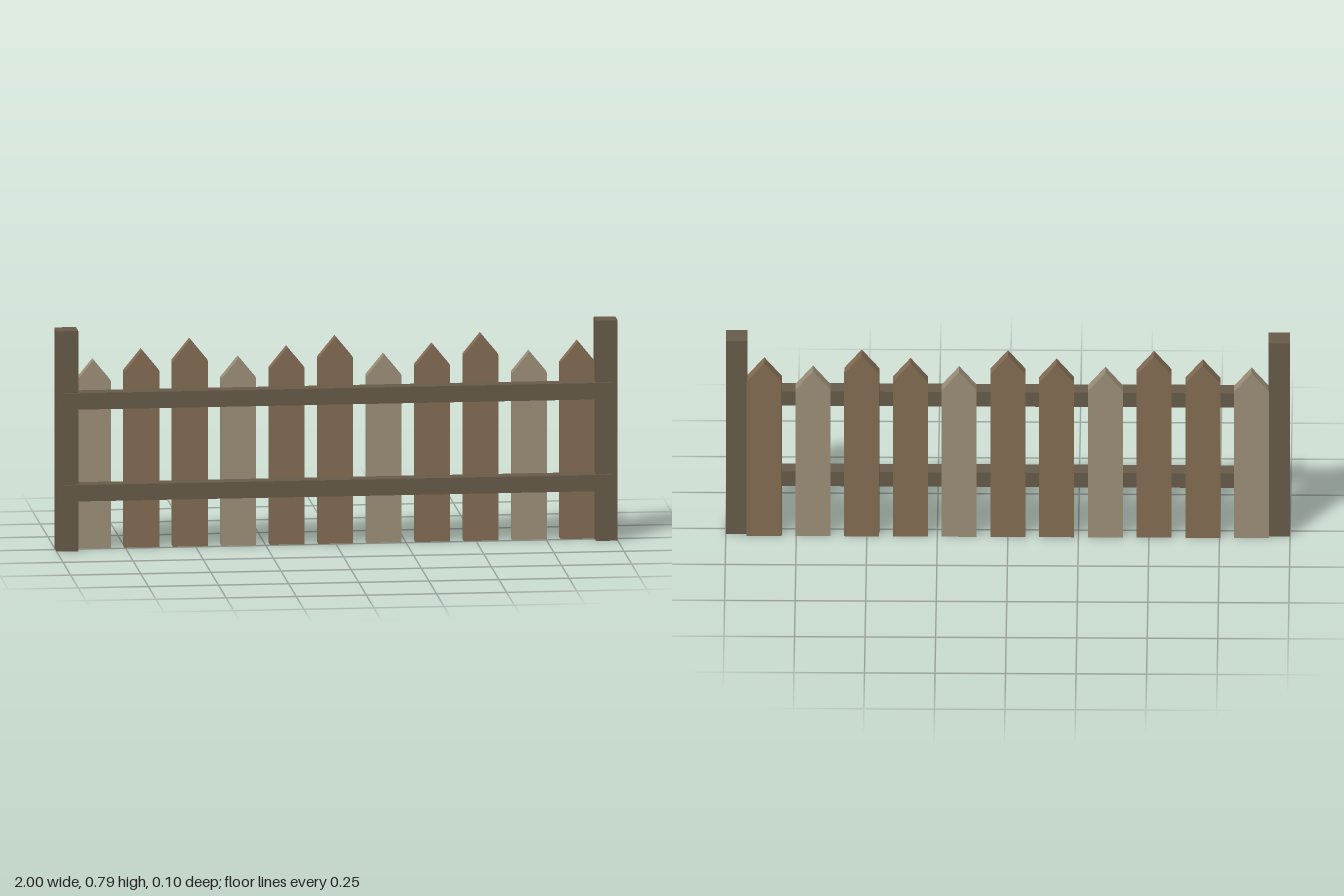
import * as THREE from 'three';

const material = (color) => new THREE.MeshStandardMaterial({ color, flatShading: true });

// Box given by its minimum and maximum corners
function box(name, min, max, mat) {
  const size = max.map((v, i) => v - min[i]);
  const mesh = new THREE.Mesh(new THREE.BoxGeometry(...size), mat);
  mesh.position.set(...max.map((v, i) => (v + min[i]) / 2));
  mesh.name = name;
  return mesh;
}

// Board with a pointed top, its back at z = 0
function picketGeometry(width, height, point, depth) {
  const w = width / 2;
  const shape = new THREE.Shape([
    new THREE.Vector2(-w, 0),
    new THREE.Vector2(w, 0),
    new THREE.Vector2(w, height - point),
    new THREE.Vector2(0, height),
    new THREE.Vector2(-w, height - point),
  ]);
  return new THREE.ExtrudeGeometry(shape, { depth, bevelEnabled: false });
}

export function createModel() {
  const fence = new THREE.Group();
  fence.name = 'picketFence';
  const frameWood = material(0x675b49);
  const brownWood = material(0x846c53);
  const paleWood = material(0x9d8f79);

  // End posts
  fence.add(box('rightPost', [-1, 0, -0.037], [-0.923, 0.794, 0.041], frameWood));
  fence.add(box('leftPost', [0.923, 0, -0.037], [1, 0.794, 0.041], frameWood));

  // Horizontal rails across the front
  fence.add(box('lowerRail', [-0.977, 0.181, -0.008], [0.977, 0.24, 0.05], frameWood));
  fence.add(box('upperRail', [-0.977, 0.512, -0.008], [0.977, 0.571, 0.05], frameWood));

  // Pickets behind the rails, in a repeating cycle of three heights
  const pickets = new THREE.Group();
  pickets.name = 'pickets';
  const boards = [0.678, 0.711, 0.745].map((h) => picketGeometry(0.124, h, 0.076, 0.042));
  for (let i = 0; i < 11; i++) {
    const picket = new THREE.Mesh(boards[i % 3], i % 3 === 0 ? paleWood : brownWood);
    picket.name = `picket${i + 1}`;
    picket.position.set((i - 5) * 0.1727, 0, -0.05);
    pickets.add(picket);
  }
  fence.add(pickets);
  return fence;
}
